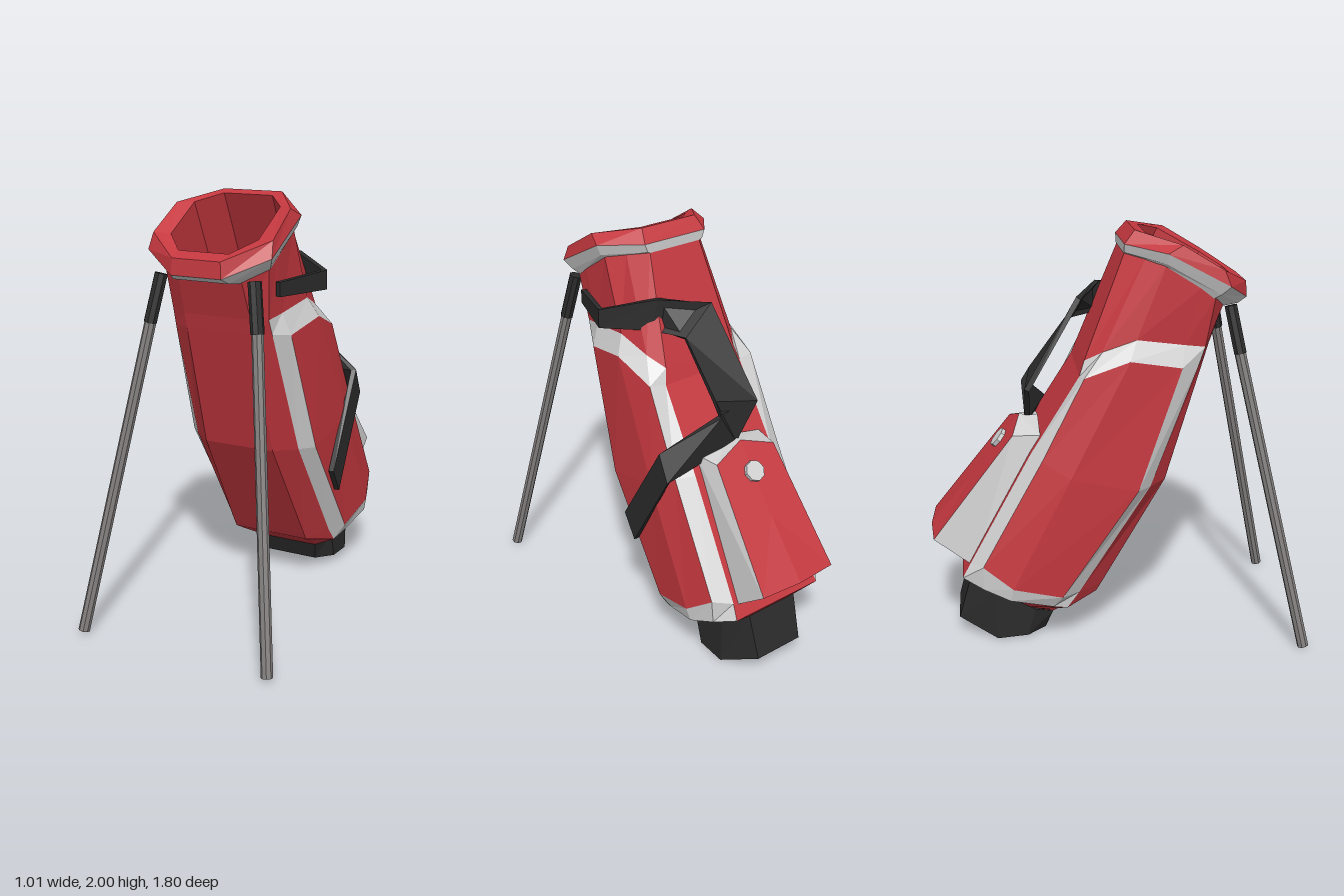
import * as THREE from 'three';

const mat = (name, color, side = THREE.FrontSide) => {
  const m = new THREE.MeshStandardMaterial({ color, side, flatShading: true });
  m.name = name;
  return m;
};

const V = (p) => new THREE.Vector3(...p);

// Turns half a ring (front to back, x > 0) into a full symmetric loop
const mirrorRing = (half) => [...half, ...half.slice().reverse().map(([x, y, z]) => [-x, y, z])];

function meshFrom(name, positions, material) {
  const geo = new THREE.BufferGeometry();
  geo.setAttribute('position', new THREE.Float32BufferAttribute(positions, 3));
  geo.computeVertexNormals();
  const mesh = new THREE.Mesh(geo, material);
  mesh.name = name;
  return mesh;
}

// Skins closed loops; pick(row, column) chooses the part name of each cell
function loft(group, loops, parts, pick) {
  const buckets = {};
  const n = loops[0].length;
  for (let r = 0; r < loops.length - 1; r++) {
    for (let c = 0; c < n; c++) {
      const d = (c + 1) % n;
      const [p, q, s, t] = [loops[r][c], loops[r][d], loops[r + 1][d], loops[r + 1][c]];
      (buckets[pick(r, c)] ??= []).push(...p, ...q, ...s, ...p, ...s, ...t);
    }
  }
  for (const name in buckets) group.add(meshFrom(name, buckets[name], parts[name]));
}

// Closes a loop with a fan around its centre
function cap(group, name, loop, material, flip = false) {
  const mid = [0, 1, 2].map((k) => loop.reduce((sum, p) => sum + p[k], 0) / loop.length);
  const out = [];
  loop.forEach((p, i) => {
    const q = loop[(i + 1) % loop.length];
    out.push(...mid, ...(flip ? q : p), ...(flip ? p : q));
  });
  group.add(meshFrom(name, out, material));
}

// Cylinder between two points
function rod(name, a, b, radius, material) {
  const dir = V(b).sub(V(a));
  const mesh = new THREE.Mesh(new THREE.CylinderGeometry(radius, radius, dir.length(), 8), material);
  mesh.position.copy(V(a).add(V(b)).multiplyScalar(0.5));
  mesh.quaternion.setFromUnitVectors(new THREE.Vector3(0, 1, 0), dir.normalize());
  mesh.name = name;
  return mesh;
}

export function createModel() {
  const model = new THREE.Group();
  model.name = 'standBag';
  const red = mat('red fabric', 0xc4383f);
  const trim = mat('light grey trim', 0xd2d2d2);
  const black = mat('black rubber', 0x2b2b2b, THREE.DoubleSide);
  const metal = mat('grey metal', 0x827e7e);

  // Body: columns run front, side edge, panel edge, side, panel edge, back
  const body = new THREE.Group();
  body.name = 'body';
  const bodyRows = [
    [[.157, .11, -.32], [.19, .14, -.39], [.2, .16, -.44], [.21, .25, -.6], [.18, .28, -.66], [.14, .31, -.72]],
    [[.2, .23, -.11], [.29, .19, -.26], [.31, .21, -.33], [.345, .27, -.535], [.31, .32, -.66], [.25, .36, -.76]],
    [[.2, .27, -.085], [.285, .27, -.2], [.34, .27, -.285], [.36, .335, -.52], [.32, .44, -.66], [.24, .43, -.72]],
    [[.18, .8, .23], [.275, .8, .145], [.335, .8, .08], [.352, .88, -.24], [.31, .96, -.37], [.23, .97, -.42]],
    [[.17, 1.4, .41], [.25, 1.4, .375], [.3, 1.385, .285], [.325, 1.43, .04], [.3, 1.35, -.17], [.22, 1.34, -.185]],
    [[.17, 1.47, .43], [.245, 1.47, .4], [.26, 1.485, .3], [.28, 1.52, .075], [.25, 1.46, -.08], [.2, 1.41, -.16]],
    [[.16, 1.66, .5], [.265, 1.71, .44], [.27, 1.75, .37], [.27, 1.86, .21], [.21, 1.88, .12], [.14, 1.9, .035]],
  ].map(mirrorRing);
  loft(body, bodyRows, { bodyShell: red, panelTrim: trim }, (r, c) => {
    const s = c < 6 ? c : 10 - c;
    const border = (r === 1 || r === 4) && s >= 1 && s <= 4;
    const edge = (r === 2 || r === 3) && (s === 1 || s === 4);
    return border || edge ? 'panelTrim' : 'bodyShell';
  });
  model.add(body);

  // Collar: grey band, red rim and the open mouth with its dark floor
  const collar = new THREE.Group();
  collar.name = 'collar';
  const inner = [[.125, 1.775, .545], [.22, 1.83, .45], [.22, 1.95, .24], [.125, 1.985, .13]];
  const floor = inner.map(([x, y, z]) => [x, y - .45, z - .215]);
  const collarRows = [
    [[.15, 1.64, .5], [.265, 1.7, .43], [.27, 1.855, .2], [.14, 1.895, .03]],
    [[.14, 1.65, .57], [.285, 1.72, .46], [.29, 1.865, .21], [.155, 1.9, .03]],
    [[.125, 1.675, .615], [.31, 1.76, .5], [.31, 1.915, .21], [.17, 1.94, .03]],
    [[.12, 1.75, .61], [.3, 1.835, .47], [.29, 1.95, .28], [.15, 2, .08]],
    inner, floor,
  ].map(mirrorRing);
  loft(collar, collarRows, { collarBand: trim, rim: red }, (r) => (r < 2 ? 'collarBand' : 'rim'));
  cap(collar, 'mouthFloor', collarRows[5], black);
  model.add(collar);

  // Base foot
  const base = new THREE.Group();
  base.name = 'base';
  const baseRows = [
    [[.14, .015, -.36], [.21, .01, -.45], [.21, 0, -.6], [.13, .09, -.785]],
    [[.157, .11, -.32], [.21, .15, -.41], [.21, .26, -.61], [.14, .32, -.72]],
  ].map(mirrorRing);
  loft(base, baseRows, { baseFoot: black }, () => 'baseFoot');
  cap(base, 'baseBottom', baseRows[0], black, true);
  model.add(base);

  // Back pocket with grey sides, a red front and a button
  const pocket = new THREE.Group();
  pocket.name = 'pocket';
  const pocketRows = [
    [[-.19, 1.05, -.37], [0, 1.09, -.37], [.19, 1.05, -.37], [.215, .4, -.7], [0, .38, -.73], [-.215, .4, -.7]],
    [[-.17, 1.045, -.5], [0, 1.1, -.46], [.17, 1.045, -.5], [.21, .55, -.89], [0, .55, -.905], [-.21, .55, -.89]],
  ];
  loft(pocket, pocketRows, { pocketSides: trim }, () => 'pocketSides');
  cap(pocket, 'pocketFace', pocketRows[1], red);
  const button = new THREE.Mesh(new THREE.CylinderGeometry(.05, .05, .03, 8), trim);
  button.name = 'pocketButton';
  button.position.set(0, .98, -.56);
  button.quaternion.setFromUnitVectors(new THREE.Vector3(0, 1, 0), new THREE.Vector3(0, .63, -.776));
  pocket.add(button);
  model.add(pocket);

  // Shoulder strap: pairs of edge points swept with a small thickness
  const strap = new THREE.Group();
  strap.name = 'strap';
  const pairs = [
    [[.28, 1.64, .38], [.28, 1.575, .38]],
    [[.375, 1.66, .1], [.375, 1.57, .1]],
    [[.17, 1.71, -.06], [.19, 1.56, -.05]],
    [[-.05, 1.67, -.17], [.12, 1.55, -.2]],
    [[-.12, 1.25, -.425], [.1, 1.3, -.39]],
    [[0, 1.08, -.42], [.1, 1.24, -.43]],
    [[.355, .96, -.38], [.355, 1.09, -.32]],
    [[.36, .52, -.125], [.36, .64, -.05]],
  ].map((pair) => pair.map(V));
  const centres = pairs.map(([a, b]) => a.clone().add(b).multiplyScalar(.5));
  const strapLoops = pairs.map(([a, b], i) => {
    const along = centres[Math.min(i + 1, 7)].clone().sub(centres[Math.max(i - 1, 0)]);
    const n = along.cross(a.clone().sub(b)).normalize().multiplyScalar(.013);
    return [a.clone().add(n), a.clone().sub(n), b.clone().sub(n), b.clone().add(n)].map((p) => p.toArray());
  });
  loft(strap, strapLoops, { strapBand: black }, () => 'strapBand');
  cap(strap, 'strapTopEnd', strapLoops[0], black);
  cap(strap, 'strapLowerEnd', strapLoops[7], black);
  model.add(strap);

  // Two stand legs with dark upper sleeves
  for (const s of [1, -1]) {
    const leg = new THREE.Group();
    leg.name = s > 0 ? 'leftLeg' : 'rightLeg';
    leg.add(rod('legSleeve', [s * .235, 1.66, .515], [s * .272, 1.44, .56], .031, black));
    leg.add(rod('legTube', [s * .27, 1.45, .557], [s * .48, .01, .875], .027, metal));
    model.add(leg);
  }
  return model;
}
